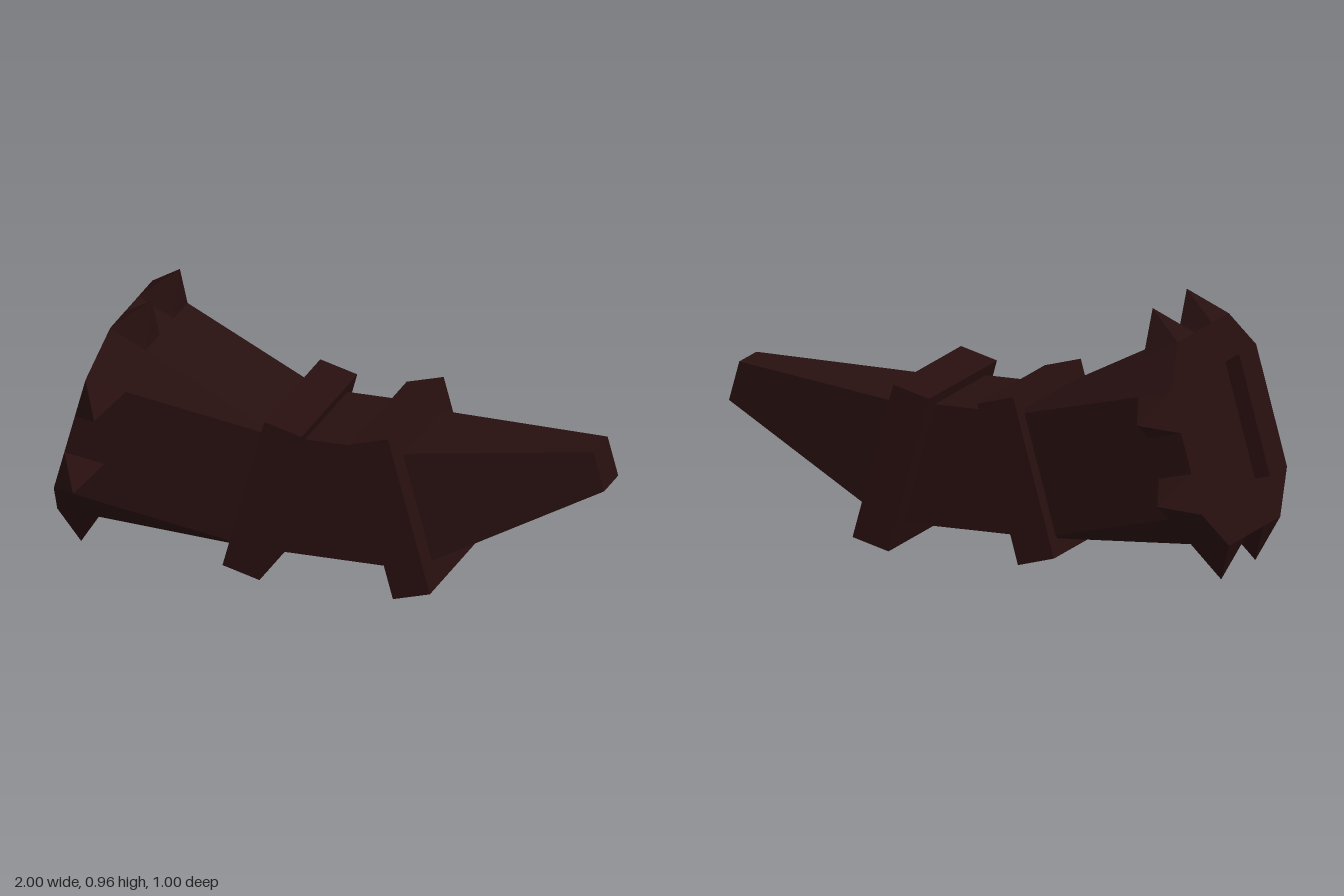
import * as THREE from 'three';

const TILT = 0.268;

// Eight-sided section at x: half size h, flat sides running from -c to c (h = c gives a square)
const section = (x, h, c = h) => [
  [h, -c], [h, c], [c, h], [-c, h], [-h, c], [-h, -c], [-c, -h], [c, -h],
].map(([y, z]) => [x, y, z]);

function toGeometry(triangles) {
  const g = new THREE.BufferGeometry();
  g.setAttribute('position', new THREE.Float32BufferAttribute(triangles.flat(2), 3));
  g.computeVertexNormals();
  return g;
}

// Joins sections of equal length along x and closes both ends
function loft(sections) {
  const tris = [];
  const n = sections[0].length;
  const same = (p, q) => p.every((v, i) => v === q[i]);
  const add = (a, b, c) => {
    if (!same(a, b) && !same(b, c) && !same(a, c)) tris.push([a, b, c]);
  };
  for (let s = 0; s < sections.length - 1; s++) {
    const a = sections[s], b = sections[s + 1];
    for (let i = 0; i < n; i++) {
      const j = (i + 1) % n;
      add(a[i], a[j], b[j]);
      add(a[i], b[j], b[i]);
    }
  }
  const first = sections[0], last = sections[sections.length - 1];
  for (let i = 1; i < n - 1; i++) {
    add(first[0], first[i + 1], first[i]);
    add(last[0], last[i], last[i + 1]);
  }
  return toGeometry(tris);
}

// Four-sided spike standing on one flat of the rim
function spikeGeometry(zc) {
  const w = 0.075, tip = [0.1, 0.5, zc];
  const base = [
    [0, 0.375, zc - w], [0, 0.375, zc + w],
    [0.145, 0.345, zc + w], [0.145, 0.345, zc - w],
  ];
  return toGeometry(base.map((p, i) => [p, base[(i + 1) % 4], tip]));
}

export function createModel() {
  const model = new THREE.Group();
  model.name = 'hornSegment';
  const darkBrown = new THREE.MeshStandardMaterial({ color: 0x270f0f });
  darkBrown.name = 'darkBrown';

  const add = (parent, name, geometry) => {
    const mesh = new THREE.Mesh(geometry, darkBrown);
    mesh.name = name;
    parent.add(mesh);
    return mesh;
  };
  const tiltedGroup = (name, x, y, angle) => {
    const g = new THREE.Group();
    g.name = name;
    g.position.set(x, y, 0);
    g.rotation.z = angle;
    model.add(g);
    return g;
  };
  const band = () => new THREE.BoxGeometry(0.144, 0.595, 0.595);

  // Flared end: shallow square recess, octagonal rim, neck narrowing into the band
  const flare = tiltedGroup('flaredEnd', -0.9, 0.5175, -TILT);
  add(flare, 'flaredBody', loft([
    section(0.06, 0.225),
    section(0, 0.225),
    section(0, 0.375, 0.225),
    section(0.145, 0.345, 0.225),
    section(0.72, 0.225),
  ]));
  add(flare, 'rearBand', band()).position.x = 0.72;

  // Two spikes on each of the four main sides of the rim
  for (let side = 0; side < 4; side++) {
    for (const z of [-0.15, 0.15]) {
      add(flare, 'rimSpike', spikeGeometry(z)).rotation.x = side * Math.PI / 2;
    }
  }

  // Middle block with slanted ends inside the two bands
  const block = (xTop, xBottom) => [
    [xTop, 0.555, -0.225], [xTop, 0.555, 0.225],
    [xBottom, 0.11, 0.225], [xBottom, 0.11, -0.225],
  ];
  add(model, 'middleBlock', loft([block(-0.14, -0.265), block(0.21, 0.335)]));

  // Narrow end: band and tapered tip
  const narrow = tiltedGroup('narrowEnd', 0.276, 0.325, TILT);
  add(narrow, 'frontBand', band());
  add(narrow, 'taperedTip', loft([section(0.05, 0.21), section(0.73, 0.075)]));

  return model;
}
